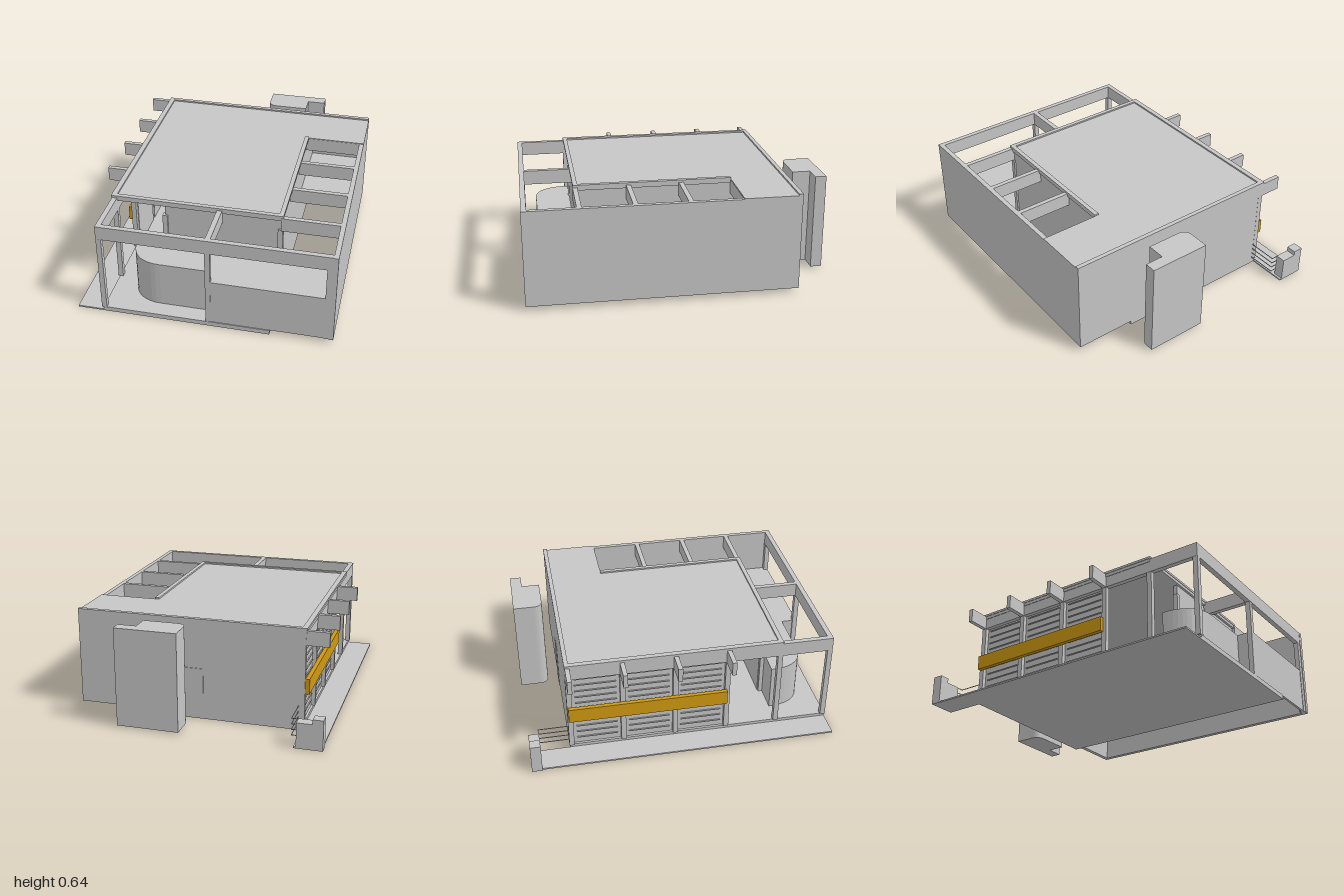
import * as THREE from 'three';

export function createModel() {
  const model = new THREE.Group();
  model.name = 'pavilionHouse';
  const house = new THREE.Group();
  house.name = 'house';
  house.rotation.y = -0.045; // the whole plan is turned slightly
  model.add(house);

  const concrete = new THREE.MeshStandardMaterial({ color: 0xc6c6c6, side: THREE.DoubleSide });
  concrete.name = 'concreteGrey';
  const gold = new THREE.MeshStandardMaterial({ color: 0xd09a10 });
  gold.name = 'goldPanel';

  const add = (name, geometry, material = concrete) => {
    const mesh = new THREE.Mesh(geometry, material);
    mesh.name = name;
    house.add(mesh);
    return mesh;
  };
  // Box given by its limits on each axis
  const block = (name, x0, x1, y0, y1, z0, z1, material) => {
    const g = new THREE.BoxGeometry(x1 - x0, y1 - y0, z1 - z0);
    g.translate((x0 + x1) / 2, (y0 + y1) / 2, (z0 + z1) / 2);
    return add(name, g, material);
  };
  // Upright prism from a plan outline drawn in x and z
  const prism = (name, shape, y0, y1) => {
    const g = new THREE.ExtrudeGeometry(shape, { depth: y1 - y0, bevelEnabled: false, curveSegments: 12 });
    g.rotateX(Math.PI / 2);
    g.translate(0, y1, 0);
    return add(name, g);
  };
  const outline = (points) => new THREE.Shape(points.map(([x, z]) => new THREE.Vector2(x, z)));

  const bays = [-0.7, -0.37, -0.04, 0.29, 0.62, 0.94];
  const post = (name, x, z, y1 = 0.54) => block(name, x - 0.016, x + 0.016, 0.03, y1, z - 0.016, z + 0.016);

  // Ground slabs
  block('floorSlab', -0.63, 0.415, 0, 0.03, -0.712, 0.955);
  block('sideApron', -0.797, -0.63, 0, 0.01, -0.965, 0.955);

  // Outer walls
  block('rightWall', 0.77, 0.8, 0.03, 0.63, -0.715, 0.957);
  block('backWall', -0.64, 0.77, 0.03, 0.63, -0.715, -0.685);
  block('backDoor', -0.01, 0.13, 0.03, 0.33, -0.719, -0.714);

  // Inner walls under the roof
  block('frontWall', -0.31, 0.415, 0.03, 0.63, 0.59, 0.615);
  block('innerRightWall', 0.39, 0.415, 0.03, 0.63, -0.685, 0.59);

  // L-shaped roof with a raised rim
  const roofPoints = [[-0.645, -0.715], [0.8, -0.715], [0.8, -0.357], [0.425, -0.357], [0.425, 0.63], [-0.645, 0.63]];
  prism('roof', outline(roofPoints), 0.61, 0.635);
  block('rimBack', -0.645, 0.8, 0.63, 0.645, -0.717, -0.69);
  block('rimLeft', -0.648, -0.615, 0.63, 0.645, -0.715, 0.63);
  block('rimFront', -0.645, 0.428, 0.63, 0.645, 0.605, 0.633);
  block('rimRight', 0.4, 0.428, 0.63, 0.645, -0.357, 0.63);

  // Ring beams and pergola
  block('frontBeam', -0.642, 0.77, 0.54, 0.63, 0.923, 0.955);
  block('leftBeam', -0.642, -0.61, 0.54, 0.63, -0.7, 0.923);
  block('porchBeam', 0.02, 0.052, 0.54, 0.63, 0.62, 0.923);
  for (const z of bays.slice(1, 5)) {
    block('pergolaBeam', 0.415, 0.77, 0.54, 0.63, z - 0.015, z + 0.015);
  }
  for (const z of bays.slice(0, 4)) {
    block('projectingBeam', -0.78, -0.64, 0.54, 0.63, z - 0.014, z + 0.014);
  }

  // Posts
  for (const z of bays) post('leftPost', -0.625, z);
  post('porchPost', -0.31, 0.61);
  post('frontPost', 0.036, 0.937);
  post('cornerPost', 0.41, 0.61);
  post('rightFrontPost', 0.754, 0.937);

  // Louvred screens between the left posts
  for (let i = 0; i < 3; i++) {
    const z0 = bays[i] + 0.016, z1 = bays[i + 1] - 0.016;
    block('leftScreen', -0.615, -0.605, 0.03, 0.54, z0, z1);
    for (let y = 0.07; y < 0.53; y += 0.045) {
      block('louvre', -0.622, -0.614, y, y + 0.006, z0 + 0.02, z1 - 0.02);
    }
  }
  block('goldBand', -0.667, -0.641, 0.235, 0.33, -0.71, 0.285, gold);

  // Rounded counter inside the porch
  const counter = outline([[0.03, 0.62], [0.03, 0.848]]);
  counter.lineTo(-0.29, 0.848);
  counter.bezierCurveTo(-0.42, 0.848, -0.495, 0.77, -0.495, 0.62);
  prism('roundedCounter', counter, 0.03, 0.33);

  // Terrace front and deck
  block('terraceFront', 0.036, 0.77, 0.03, 0.33, 0.935, 0.95);
  block('terraceSide', 0.03, 0.045, 0.03, 0.33, 0.62, 0.935);
  block('terraceDeck', 0.036, 0.77, 0.315, 0.33, 0.605, 0.935);
  block('courtShelf', 0.415, 0.77, 0.315, 0.33, -0.685, -0.04);

  // Rack seen on the inner back wall
  block('rackUpright', -0.455, -0.449, 0.36, 0.52, -0.68, -0.674);
  for (const y of [0.4, 0.44, 0.48, 0.505]) {
    block('rackBar', -0.55, -0.38, y, y + 0.005, -0.68, -0.674);
  }

  // Freestanding tower behind the house
  const tower = outline([[0.067, -0.972], [0.457, -0.972], [0.457, -0.9], [0.34, -0.9], [0.34, -0.785], [0.13, -0.785]]);
  tower.quadraticCurveTo(0.067, -0.785, 0.067, -0.845);
  prism('backTower', tower, 0.01, 0.63);

  // Low wall and wire fence at the back of the apron
  block('lowPier', -0.804, -0.74, 0, 0.19, -0.965, -0.9);
  block('lowWall', -0.74, -0.645, 0, 0.16, -0.965, -0.9);
  for (let i = 0; i < 4; i++) {
    const y = 0.05 + i * 0.035;
    block('fenceWire', -0.606, -0.602, y, y + 0.004, -0.9, -0.715);
    block('fenceReturn', -0.645, -0.602, y, y + 0.004, -0.904, -0.9);
  }

  return model;
}
